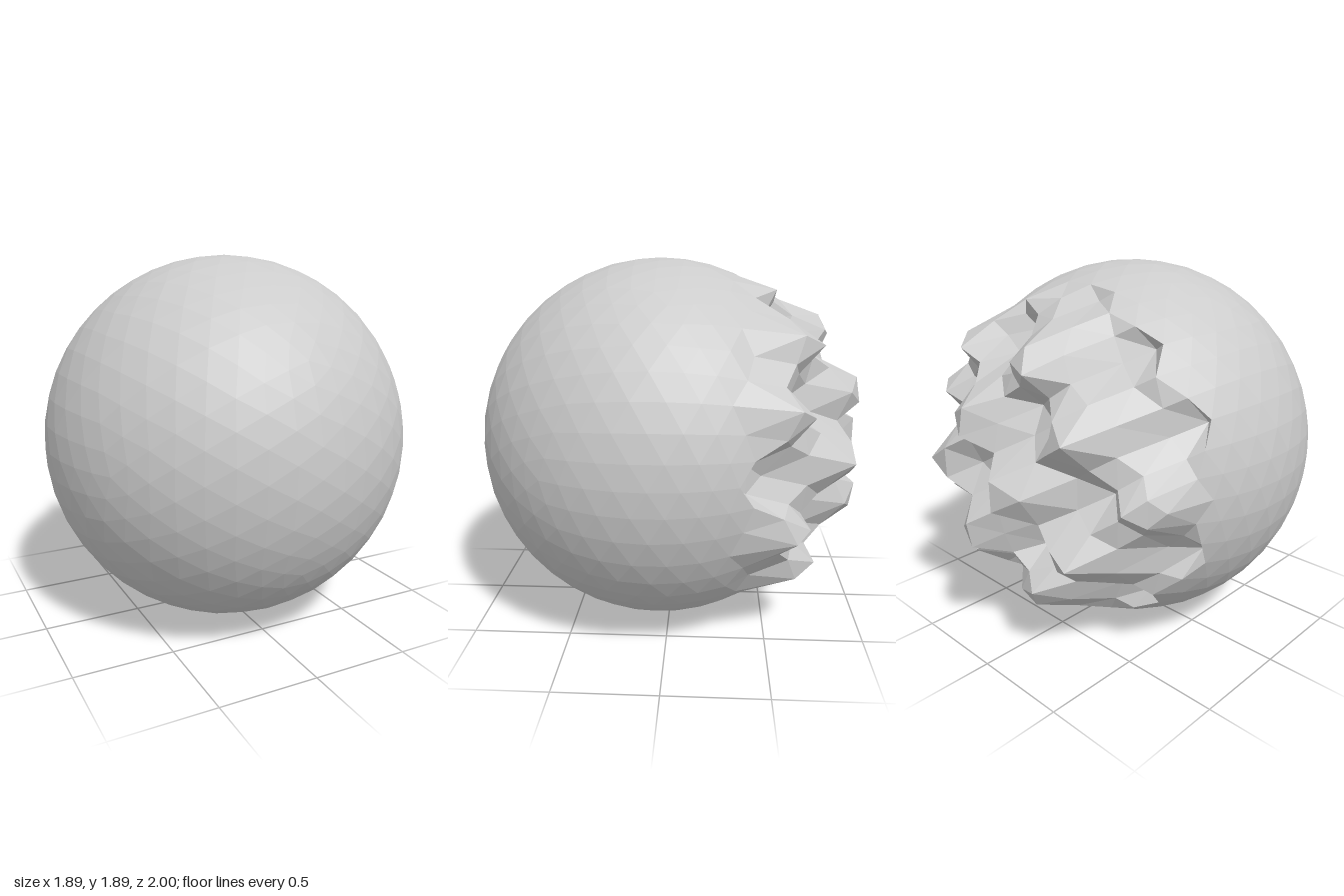
import * as THREE from 'three';

const R = 0.943;        // ball radius
const CZ = 0.055;       // ball centre, shifted forward by the crags behind
const WAVE = 10 / R;    // spacing of the crags across the back
const DEPTH = 0.187;    // height of the crags and depth of the pits

export function createModel() {
  const group = new THREE.Group();
  group.name = 'craggyBall';

  // Faceted ball: round in front, a checkerboard of crags and pits on the back cap
  const geo = new THREE.IcosahedronGeometry(R, 7);
  const p = geo.attributes.position;
  for (let i = 0; i < p.count; i++) {
    const x = p.getX(i), y = p.getY(i), z = p.getZ(i);
    const push = z < -0.5 * R ? DEPTH * Math.sin(WAVE * x) * Math.cos(WAVE * y) : 0;
    p.setXYZ(i, x, y + R, z + CZ + push);
  }
  geo.computeVertexNormals();

  const ball = new THREE.Mesh(
    geo,
    new THREE.MeshStandardMaterial({ color: 0xcccccc, flatShading: true })
  );
  ball.name = 'ball';
  group.add(ball);
  return group;
}
